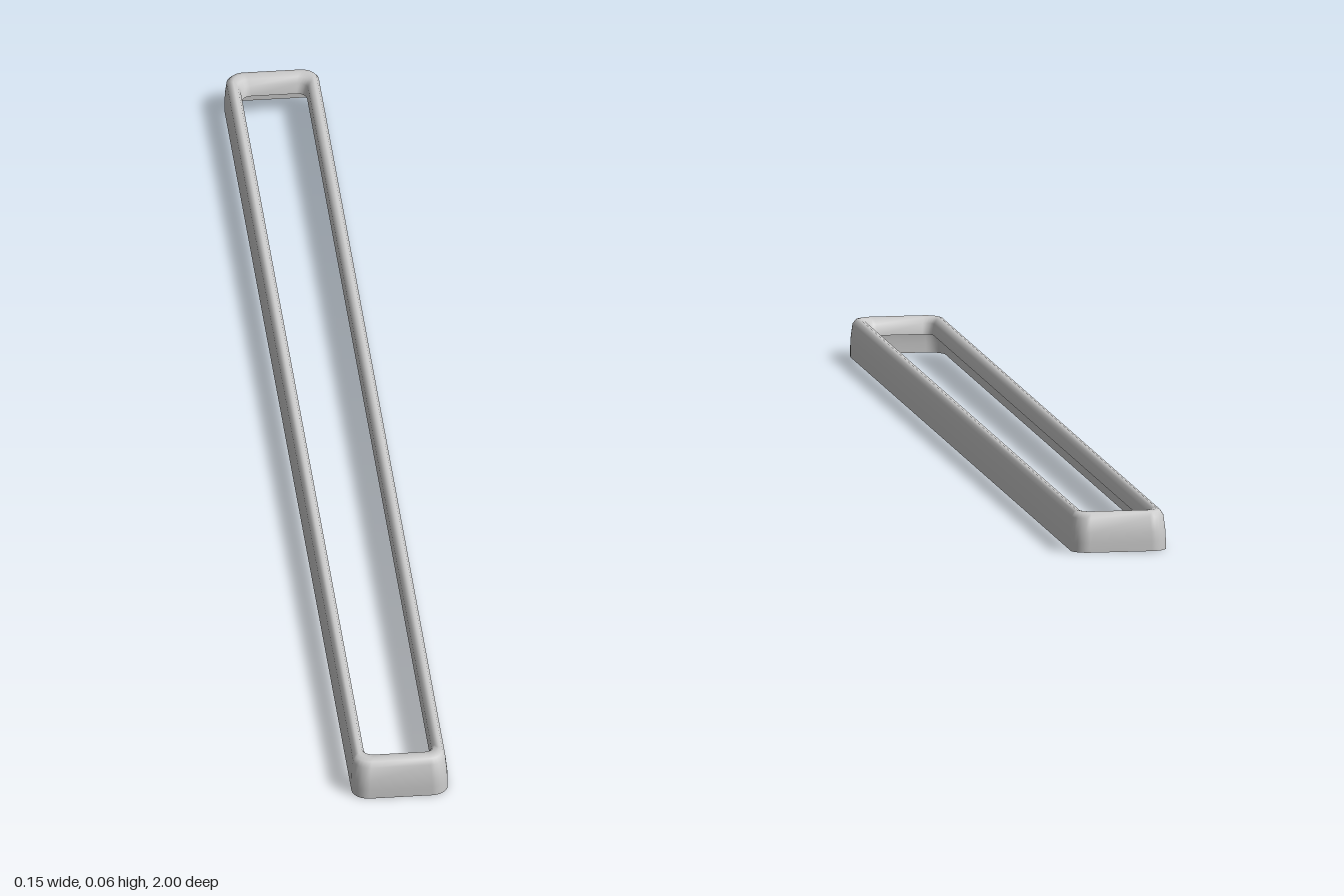
import * as THREE from 'three';

// Cross-section of the shell, from the outer foot over the rim to the inner lip:
// half width (x), half length (z), height, corner radius
const RINGS = [
  [0.074, 1.0, 0, 0.026],
  [0.074, 1.0, 0.015, 0.026],
  [0.0735, 0.999, 0.03, 0.026],
  [0.071, 0.995, 0.052, 0.025],
  [0.067, 0.988, 0.059, 0.023],
  [0.062, 0.98, 0.061, 0.021],
  [0.056, 0.968, 0.059, 0.018],
  [0.052, 0.96, 0.052, 0.016],
  [0.05, 0.957, 0.035, 0.015],
];
const CORNER_STEPS = 6;

// Points of one rounded rectangle, going round from +x towards +z
function roundedRing([hx, hz, y, r]) {
  const points = [];
  const corners = [[1, 1], [-1, 1], [-1, -1], [1, -1]];
  corners.forEach(([sx, sz], k) => {
    for (let i = 0; i <= CORNER_STEPS; i++) {
      const a = (k + i / CORNER_STEPS) * Math.PI / 2;
      points.push(sx * (hx - r) + r * Math.cos(a), y, sz * (hz - r) + r * Math.sin(a));
    }
  });
  return points;
}

// Skin neighbouring rings into one smooth closed band
function loftRings(rings) {
  const n = 4 * (CORNER_STEPS + 1);
  const index = [];
  for (let j = 0; j < rings.length - 1; j++) {
    for (let i = 0; i < n; i++) {
      const a = j * n + i, b = j * n + (i + 1) % n;
      index.push(a, a + n, b, b, a + n, b + n);
    }
  }
  const geometry = new THREE.BufferGeometry();
  geometry.setAttribute('position', new THREE.Float32BufferAttribute(rings.flatMap(roundedRing), 3));
  geometry.setIndex(index);
  geometry.computeVertexNormals();
  return geometry;
}

export function createModel() {
  const group = new THREE.Group();
  group.name = 'trimFrame';

  // Thin shell, open underneath and through the middle
  const material = new THREE.MeshStandardMaterial({ color: 0xcccccc, side: THREE.DoubleSide });
  const frame = new THREE.Mesh(loftRings(RINGS), material);
  frame.name = 'frameShell';
  group.add(frame);
  return group;
}
